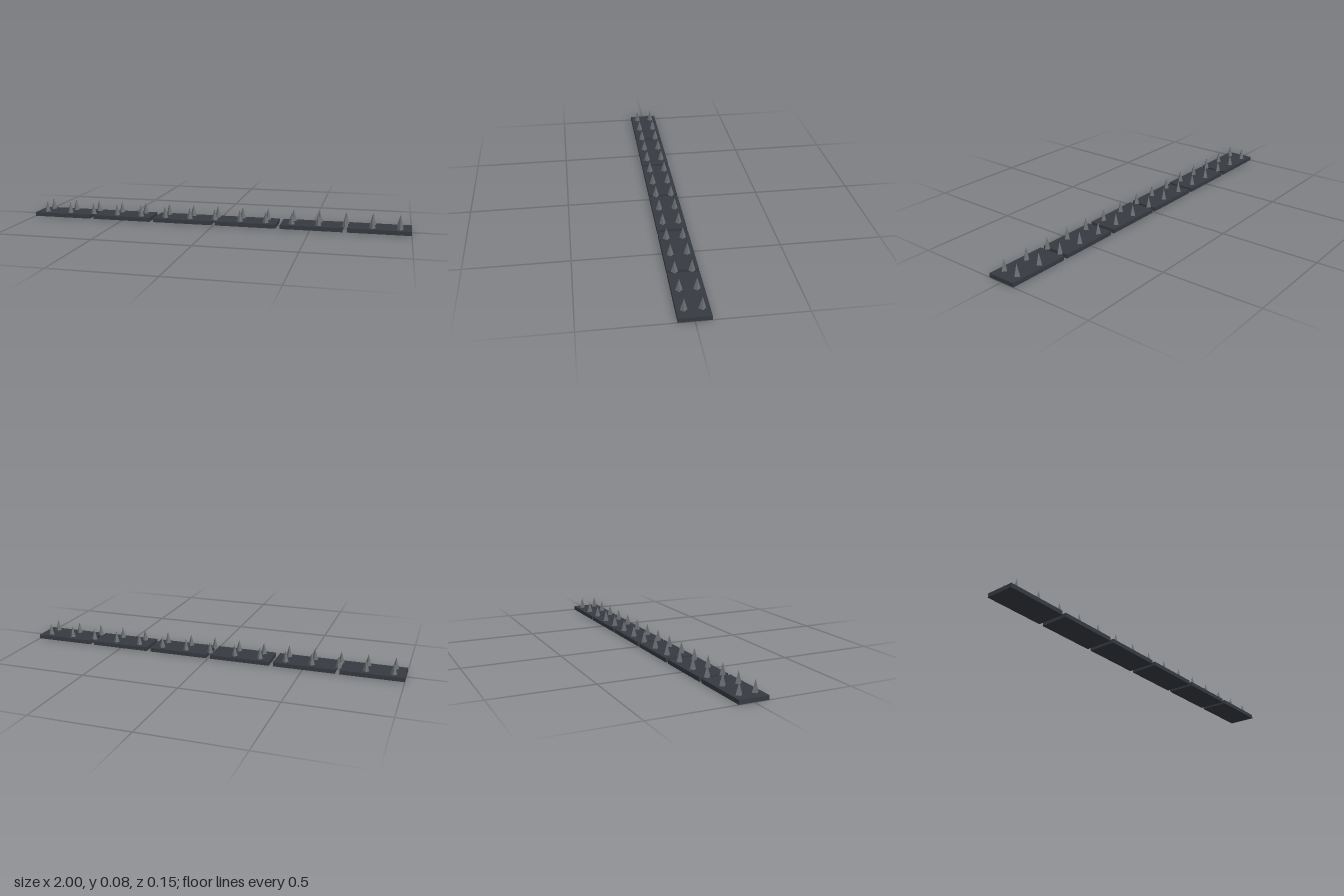
import * as THREE from 'three';

const PLATES = 6, PLATE_W = 0.315, PLATE_H = 0.021, PLATE_D = 0.148;
const SPIKES = 15, SPIKE_H = 0.06, SPIKE_R = 0.0165, ROW_Z = 0.04;

export function createModel() {
  const model = new THREE.Group();
  model.name = 'spikeStrip';

  const darkMetal = new THREE.MeshStandardMaterial({ color: 0x363b41 });
  darkMetal.name = 'darkMetal';
  const steel = new THREE.MeshStandardMaterial({ color: 0x6b7072 });
  steel.name = 'steel';
  steel.flatShading = true;

  // Row of flat base plates with narrow gaps between them
  const plateGeo = new THREE.BoxGeometry(PLATE_W, PLATE_H, PLATE_D);
  const platePitch = (2 - PLATE_W) / (PLATES - 1);
  for (let i = 0; i < PLATES; i++) {
    const plate = new THREE.Mesh(plateGeo, darkMetal);
    plate.name = `basePlate${i + 1}`;
    plate.position.set((i - (PLATES - 1) / 2) * platePitch, PLATE_H / 2, 0);
    model.add(plate);
  }

  // Two rows of four-sided spikes; some bridge the gaps
  const spikeGeo = new THREE.ConeGeometry(SPIKE_R, SPIKE_H, 4);
  const spikePitch = 1.886 / (SPIKES - 1);
  for (const [row, z] of [['front', ROW_Z], ['back', -ROW_Z]]) {
    const group = new THREE.Group();
    group.name = `${row}SpikeRow`;
    for (let i = 0; i < SPIKES; i++) {
      const spike = new THREE.Mesh(spikeGeo, steel);
      spike.name = `${row}Spike${i + 1}`;
      spike.position.set((i - (SPIKES - 1) / 2) * spikePitch, PLATE_H + SPIKE_H / 2, z);
      group.add(spike);
    }
    model.add(group);
  }
  return model;
}
